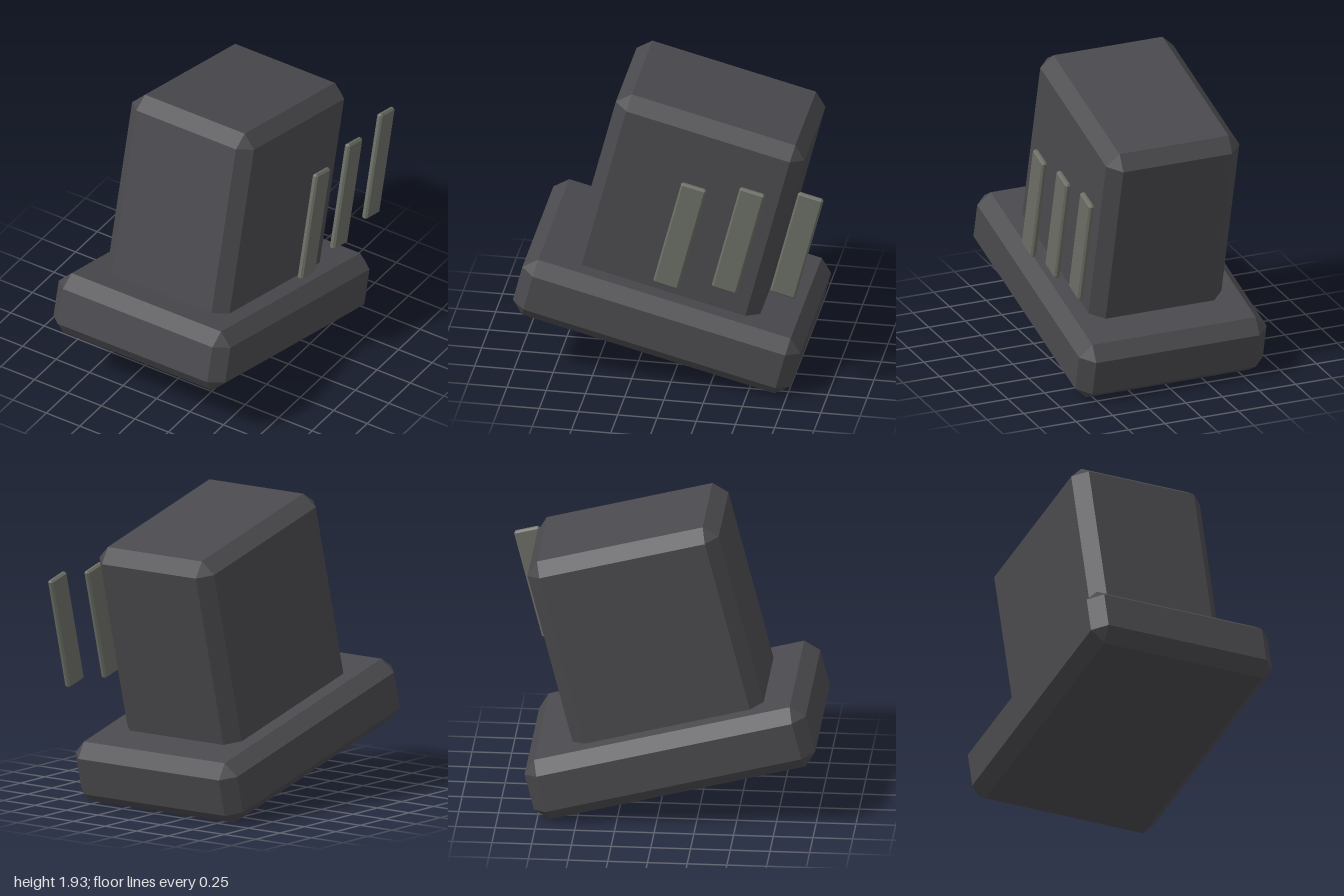
import * as THREE from 'three';
import { ConvexGeometry } from 'three/addons/geometries/ConvexGeometry.js';

// Box with every edge and corner chamfered by b
function chamferBox(w, h, d, b) {
  const points = [];
  for (const sx of [-1, 1]) for (const sy of [-1, 1]) for (const sz of [-1, 1]) {
    const x = w / 2, y = h / 2, z = d / 2;
    points.push(
      new THREE.Vector3(sx * x, sy * (y - b), sz * (z - b)),
      new THREE.Vector3(sx * (x - b), sy * y, sz * (z - b)),
      new THREE.Vector3(sx * (x - b), sy * (y - b), sz * z)
    );
  }
  return new ConvexGeometry(points);
}

export function createModel() {
  const charcoal = new THREE.MeshStandardMaterial({ color: 0x4a4a4e, flatShading: true });
  charcoal.name = 'charcoal';
  const sage = new THREE.MeshStandardMaterial({ color: 0x6a6d64, flatShading: true });
  sage.name = 'greyGreen';

  const model = new THREE.Group();
  model.name = 'tiltedBlock';
  model.rotation.x = -0.25; // whole piece leans back

  // Each part is given by its min and max corners in the tilted frame
  const addPart = (name, material, min, max, bevel) => {
    const size = max.map((v, i) => v - min[i]);
    const mesh = new THREE.Mesh(chamferBox(...size, bevel), material);
    mesh.position.set(...max.map((v, i) => (v + min[i]) / 2));
    mesh.name = name;
    model.add(mesh);
  };

  addPart('base', charcoal, [-0.66, 0.168, -0.73], [0.622, 0.578, 1.096], 0.083);
  addPart('body', charcoal, [-0.475, 0.45, -0.413], [0.435, 1.806, 0.829], 0.083);

  // Three slats stepping level towards the back, beside the left face
  for (let i = 0; i < 3; i++) {
    const dy = 0.092 * i, dz = -0.361 * i;
    addPart('slat' + (i + 1), sage,
      [0.618, 0.733 + dy, 0.113 + dz], [0.657, 1.469 + dy, 0.279 + dz], 0.012);
  }

  const root = new THREE.Group();
  root.name = 'model';
  root.add(model);
  return root;
}
